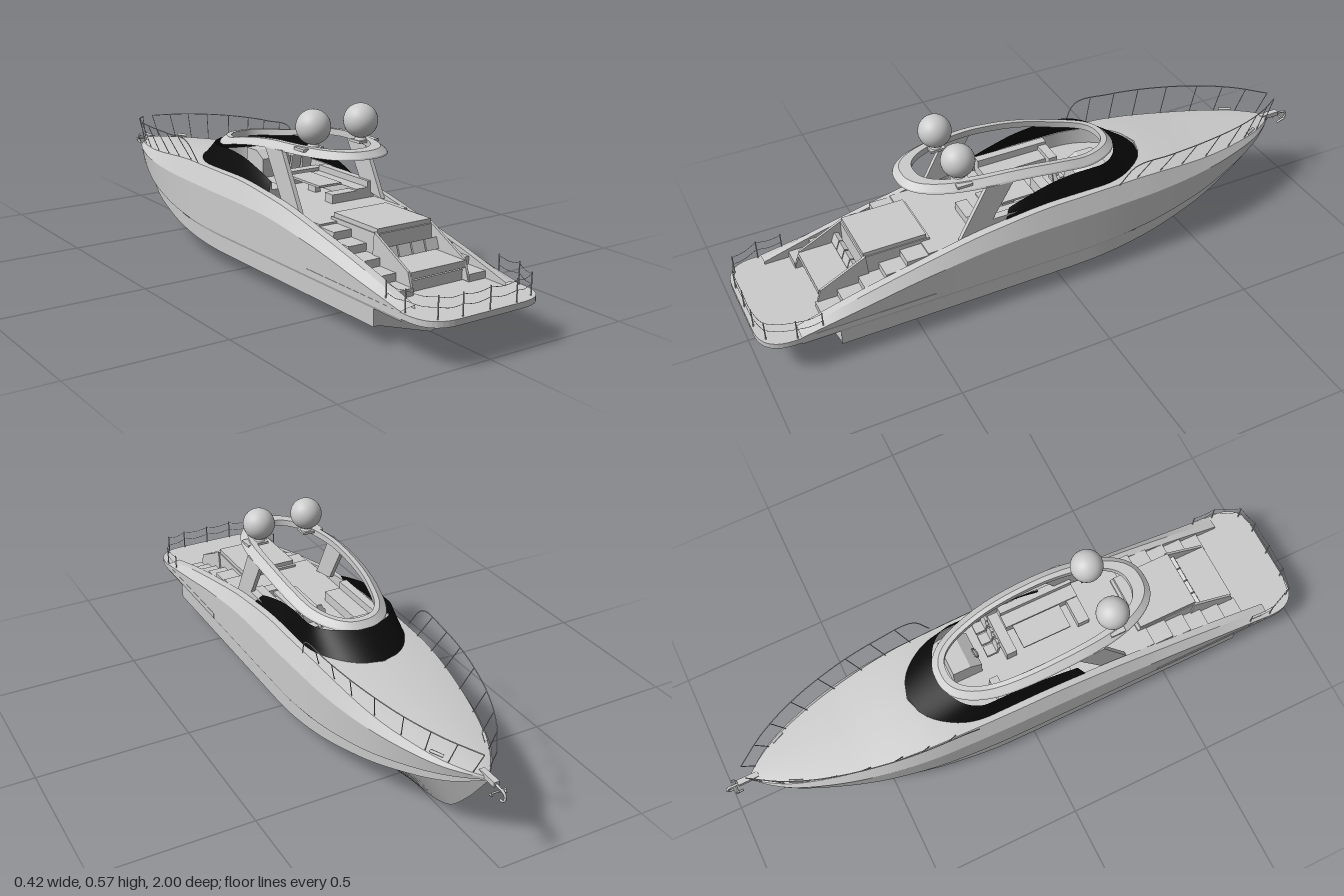
import * as THREE from 'three';

const grey = new THREE.MeshStandardMaterial({ color: 0xcccccc });
const greyOpen = new THREE.MeshStandardMaterial({ color: 0xcccccc, side: THREE.DoubleSide });
const glass = new THREE.MeshStandardMaterial({ color: 0x0a0a0a, side: THREE.DoubleSide });
const V = (x, y, z) => new THREE.Vector3(x, y, z);

// Smooth monotone curve through [z, value] pairs, z descending from stern to bow
function curve(...p) {
  const d = p.slice(1).map((q, i) => (q[1] - p[i][1]) / (q[0] - p[i][0]));
  const m = p.map((_, i) => {
    if (i === 0) return d[0];
    if (i === p.length - 1) return d[i - 1];
    return d[i - 1] * d[i] <= 0 ? 0 : 2 * d[i - 1] * d[i] / (d[i - 1] + d[i]);
  });
  return z => {
    if (z >= p[0][0]) return p[0][1];
    let i = 0;
    while (i < p.length - 2 && z < p[i + 1][0]) i++;
    const h = p[i + 1][0] - p[i][0], t = Math.min(1, (z - p[i][0]) / h), s = 1 - t;
    return (1 + 2 * t) * s * s * p[i][1] + t * s * s * h * m[i]
      + t * t * (3 - 2 * t) * p[i + 1][1] - t * t * s * h * m[i + 1];
  };
}

// Smooth grid surface: f(u, v) returns a point, u and v in 0..1
function surface(nu, nv, f, flip = false) {
  const pos = [], idx = [];
  for (let i = 0; i <= nu; i++) for (let j = 0; j <= nv; j++) pos.push(...f(i / nu, j / nv));
  for (let i = 0; i < nu; i++) for (let j = 0; j < nv; j++) {
    const a = i * (nv + 1) + j, b = a + nv + 1;
    idx.push(...(flip ? [a, b, a + 1, b, b + 1, a + 1] : [a, a + 1, b, b, a + 1, b + 1]));
  }
  const g = new THREE.BufferGeometry();
  g.setAttribute('position', new THREE.Float32BufferAttribute(pos, 3));
  g.setIndex(idx);
  g.computeVertexNormals();
  return g;
}

export function createModel() {
  const boat = new THREE.Group();
  boat.name = 'motorYacht';
  const add = (name, geo, mat = grey) => {
    const m = new THREE.Mesh(geo, mat);
    m.name = name;
    boat.add(m);
    return m;
  };
  // Box given by its limits
  const box = (name, x0, x1, y0, y1, z0, z1) => {
    const m = add(name, new THREE.BoxGeometry(x1 - x0, y1 - y0, z1 - z0));
    m.position.set((x0 + x1) / 2, (y0 + y1) / 2, (z0 + z1) / 2);
    return m;
  };
  const rod = (name, pts, r, n = 1) => add(name, new THREE.TubeGeometry(
    n === 1 ? new THREE.LineCurve3(...pts) : new THREE.CatmullRomCurve3(pts), n, r, 6));
  // Side profile of [z, y] points extruded across x0..x1
  const profile = (name, pts, x0, x1) => {
    const g = new THREE.ExtrudeGeometry(new THREE.Shape(pts.map(([z, y]) => new THREE.Vector2(-z, y))),
      { depth: x1 - x0, bevelEnabled: false });
    g.rotateY(Math.PI / 2).translate(x0, 0, 0);
    return add(name, g);
  };

  // Hull lines
  const keelY = curve([.76, 0], [-.55, 0], [-.65, .01], [-.74, .04], [-.82, .115], [-.92, .245]);
  const chineX = curve([.76, .185], [-.1, .185], [-.3, .17], [-.5, .13], [-.7, .075], [-.82, .035], [-.92, 0]);
  const chineY = curve([.76, .057], [0, .057], [-.2, .066], [-.5, .11], [-.7, .155], [-.82, .195], [-.92, .246]);
  const rubX = curve([.88, .205], [-.1, .205], [-.3, .192], [-.5, .16], [-.7, .1], [-.82, .055], [-.92, 0]);
  const rubY = curve([.88, .11], [0, .11], [-.2, .114], [-.5, .15], [-.7, .19], [-.82, .22], [-.92, .247]);
  const sideX = curve([.88, .21], [0, .21], [-.3, .203], [-.4, .195], [-.5, .181], [-.6, .16], [-.7, .13],
    [-.8, .09], [-.87, .045], [-.92, 0]);
  const sideY = curve([.88, .14], [.7, .172], [.46, .215], [.2, .245], [0, .25], [-.92, .252]);
  const sheerY = curve([.88, .145], [.7, .195], [.46, .25], [.25, .29], [0, .313], [-.25, .313], [-.6, .282], [-.92, .256]);
  const sheerX = z => .88 * sideX(z);
  const innerX = z => z > -.14 ? .162 : z < -.36 ? 0 : .162 * Math.sqrt(Math.max(0, 1 - ((z + .14) / .22) ** 2));
  const deckY = (x, z) => sheerY(z) + .07 * sheerX(z) * (1 - (x / Math.max(sheerX(z), 1e-4)) ** 2);
  const keel = z => [0, keelY(z)], chine = z => [chineX(z), chineY(z)];
  const chineOut = z => [chineX(z) + (rubX(z) - chineX(z)) * .95, chineY(z)];
  const rub = z => [rubX(z), rubY(z)], belt = z => [(rubX(z) * .3 + sideX(z) * .7), rubY(z) + .008 * rubX(z) / .205];
  const side = z => [sideX(z), sideY(z)], sheer = z => [sheerX(z), sheerY(z)];
  const inner = z => [innerX(z), deckY(innerX(z), z)];
  const well = z => [innerX(z), .13];

  // Mirrored strip between two hull lines
  const strip = (name, a, b, z0, z1, nv = 1, crown = false) => {
    for (const s of [1, -1]) add(name, surface(110, nv, (u, v) => {
      const z = z0 + (z1 - z0) * u, p = a(z), q = b(z), x = p[0] + (q[0] - p[0]) * v;
      return [s * x, crown ? deckY(x, z) : p[1] + (q[1] - p[1]) * v, z];
    }, s < 0), greyOpen);
  };
  strip('hullBottom', keel, chine, .76, -.92);
  strip('chineFlat', chine, chineOut, .76, -.92);
  strip('lowerTopside', chineOut, rub, .76, -.92);
  strip('rubStep', rub, belt, .88, -.92);
  strip('topside', belt, side, .88, -.92);
  strip('bulwark', side, sheer, .88, -.92);
  strip('deck', sheer, inner, .88, -.92, 8, true);
  strip('cockpitWall', inner, well, .88, -.36);

  // Transom
  const tr = [keel, chine, chineOut, rub].map(f => f(.76));
  const outline = [...tr, [.205, .13], [-.205, .13], ...tr.slice(1).reverse().map(([x, y]) => [-x, y])];
  add('transom', new THREE.ShapeGeometry(new THREE.Shape(outline.map(p => new THREE.Vector2(...p)))), greyOpen)
    .position.z = .76;

  // Swim platform with rounded aft corners
  const ps = new THREE.Shape();
  ps.moveTo(-.21, -.45); ps.lineTo(.21, -.45); ps.lineTo(.21, -.9);
  ps.quadraticCurveTo(.21, -1, .11, -1); ps.lineTo(-.11, -1); ps.quadraticCurveTo(-.21, -1, -.21, -.9);
  add('swimPlatform', new THREE.ExtrudeGeometry(ps, { depth: .018, bevelEnabled: false, curveSegments: 10 })
    .rotateX(-Math.PI / 2).translate(0, .12, 0));

  // Cockpit floor, side steps and aft lounge
  box('cockpitFloor', -.162, .162, .14, .262, -.34, .45);
  for (const s of [1, -1]) {
    for (let i = 0; i < 5; i++) {
      const m = box('sideStep', .1, .163, .138, .16 + i * .024, .44, .8 - i * .07);
      m.position.x *= s;
    }
    const x = s * .101;
    profile('loungeArm', [[.62, .14], [.8, .14], [.78, .2], [.63, .275]], x - .004, x + .004);
  }
  box('sunpadBase', -.1, .1, .14, .27, .42, .64);
  box('sunpad', -.097, .097, .27, .284, .43, .635);
  box('loungeBase', -.098, .098, .138, .17, .63, .775);
  box('loungeSeat', -.098, .098, .177, .198, .63, .785);
  box('loungeRecess', -.094, .094, .168, .179, .63, .765);
  for (let i = 0; i < 4; i++) {
    const c = box('backCushion', -.096 + i * .049, -.051 + i * .049, .2, .235, .655, .67);
    c.rotation.x = -.35;
  }

  // Cockpit furniture
  box('portSofaBase', -.155, -.075, .262, .295, -.07, .15);
  box('portSofaBack', -.157, -.13, .262, .32, -.1, .15);
  box('sofaEnd', -.13, -.05, .262, .31, -.1, -.07);
  box('settee', .09, .155, .262, .295, .03, .29);
  box('setteeBack', .135, .16, .262, .315, .03, .29);
  box('setteeAft', 0, .135, .262, .29, .25, .29);
  box('tableLeg', .035, .055, .262, .296, .11, .15);
  box('tableTop', 0, .085, .296, .303, .05, .22);
  box('wetBar', 0, .15, .262, .305, -.01, .025);
  profile('helmConsole', [[-.1, .262], [-.1, .325], [-.14, .348], [-.2, .348], [-.2, .262]], 0, .12);
  const wheel = add('steeringWheel', new THREE.TorusGeometry(.016, .0025, 6, 20));
  wheel.position.set(.04, .34, -.105);
  wheel.rotation.x = -.5;
  const back = new THREE.Shape([[-.018, 0], [.018, 0], [.019, .035], [.009, .043], [.008, .052], [-.008, .052],
    [-.009, .043], [-.019, .035]].map(p => new THREE.Vector2(...p)));
  for (const x of [.04, .083, .126]) {
    box('helmSeat', x - .018, x + .018, .296, .31, -.07, -.03);
    box('helmSeatPost', x - .006, x + .006, .262, .296, -.056, -.044);
    add('helmSeatBack', new THREE.ExtrudeGeometry(back, { depth: .009, bevelEnabled: false })
      .rotateX(.12).translate(x, .308, -.037));
  }

  // Wraparound windscreen: straight tails joined by an elliptical front
  const wrap = (t, w, zEnd, depth) => {
    const k = Math.abs(t), s = Math.sign(t);
    if (k > .55) return [s * w, -.14 + (zEnd + .14) * (k - .55) / .45];
    const a = k / .55 * Math.PI / 2;
    return [s * w * Math.sin(a), -.14 - depth * Math.cos(a)];
  };
  const screenTop = curve([.19, .322], [.1, .352], [0, .377], [-.08, .384], [-.27, .384]);
  add('windscreen', surface(72, 4, (u, v) => {
    const t = 2 * u - 1, [x0, z0] = wrap(t, .165, .19, .222), [x1, z1] = wrap(t, .146, .17, .115);
    const y0 = Math.min(.318, deckY(.16, z0)), y1 = screenTop(z1);
    return [x0 + (x1 - x0) * v, y0 + (y1 - y0) * v, z0 + (z1 - z0) * v];
  }), glass);

  // Open hardtop ring sweeping down to the windscreen
  const topY = curve([.48, .44], [.2, .438], [.1, .43], [-.02, .411], [-.13, .388], [-.26, .378]);
  const ring = (a, w, l, zc, lift) => {
    const c = Math.cos(a), s = Math.sin(a), e = .82;
    const z = zc + l * Math.sign(c) * Math.abs(c) ** e;
    return [w * Math.sign(s) * Math.abs(s) ** e, topY(z) + lift, z];
  };
  const section = [[.163, .37, .11, 0], [.16, .368, .11, .005], [.138, .35, .11, .021], [.122, .32, .1, .021], [.122, .32, .1, 0]];
  section.forEach((p, i) => {
    const q = section[(i + 1) % section.length];
    add('hardtopRing', surface(96, 1, (u, v) => {
      const A = ring(u * 2 * Math.PI, ...p), B = ring(u * 2 * Math.PI, ...q);
      return A.map((n, k) => n + (B[k] - n) * v);
    }, true), greyOpen);
  });

  // Hardtop struts and radar domes
  for (const s of [1, -1]) {
    const x = s * .153;
    profile('hardtopStrut', [[.345, .268], [.25, .285], [.16, .436], [.25, .442]], x - .007, x + .007);
    const dome = add('radarDome', new THREE.SphereGeometry(.053, 32, 20));
    dome.position.set(s * .088, .517, .31);
    add('domePedestal', new THREE.CylinderGeometry(.014, .02, .012, 20)).position.set(s * .088, .463, .31);
    const p = box('domeBracket', .066, .14, .45, .458, .285, .335);
    p.position.x *= s;
  }

  // Bow rails, cleats
  for (const s of [1, -1]) {
    const path = new THREE.CatmullRomCurve3([V(s * .19, .318, -.2), V(s * .205, .384, -.25), V(s * .2, .385, -.38),
      V(s * .182, .378, -.52), V(s * .14, .364, -.69), V(s * .085, .35, -.82), V(s * .02, .335, -.92)]);
    add('bowRail', new THREE.TubeGeometry(path, 48, .0018, 6));
    for (let i = 0; i < 8; i++) {
      const p = path.getPoint(.25 + i * .107), z = Math.max(-.905, p.z + .035), x = sheerX(z) * .97;
      rod('bowRailPost', [p, V(s * x, deckY(x, z), z)], .0015);
    }
    const c = rod('bowCleat', [V(s * .088, .275, -.765), V(s * .07, .275, -.805)], .005);
    c.castShadow = false;
  }

  // Stern posts with sagging ropes
  const posts = [[.203, .81], [.203, .89], [.165, .975], [.095, .992], [0, .992], [-.095, .992], [-.165, .975],
    [-.203, .89], [-.203, .81]];
  posts.forEach(([x, z], i) => {
    rod('sternPost', [V(x, .135, z), V(x, .206, z)], .002);
    if (!i) return;
    const [px, pz] = posts[i - 1];
    for (const y of [.2, .172])
      rod('sternRope', [V(px, y, pz), V((x + px) / 2, y - .006, (z + pz) / 2), V(x, y, z)], .0008, 8);
  });

  // Bow roller and anchor
  box('bowRoller', -.009, .009, .248, .264, -.955, -.885);
  rod('anchorShank', [V(0, .258, -.91), V(0, .25, -.99)], .004);
  const hook = add('anchorHook', new THREE.TorusGeometry(.017, .004, 6, 16, Math.PI * 1.1));
  hook.rotation.set(0, Math.PI / 2, -Math.PI * .55);
  hook.position.set(0, .236, -.979);
  rod('anchorStock', [V(-.024, .24, -.965), V(.024, .24, -.965)], .003);
  for (const s of [1, -1]) rod('anchorFluke', [V(s * .022, .24, -.975), V(s * .016, .224, -.95)], .004);
  return boat;
}
